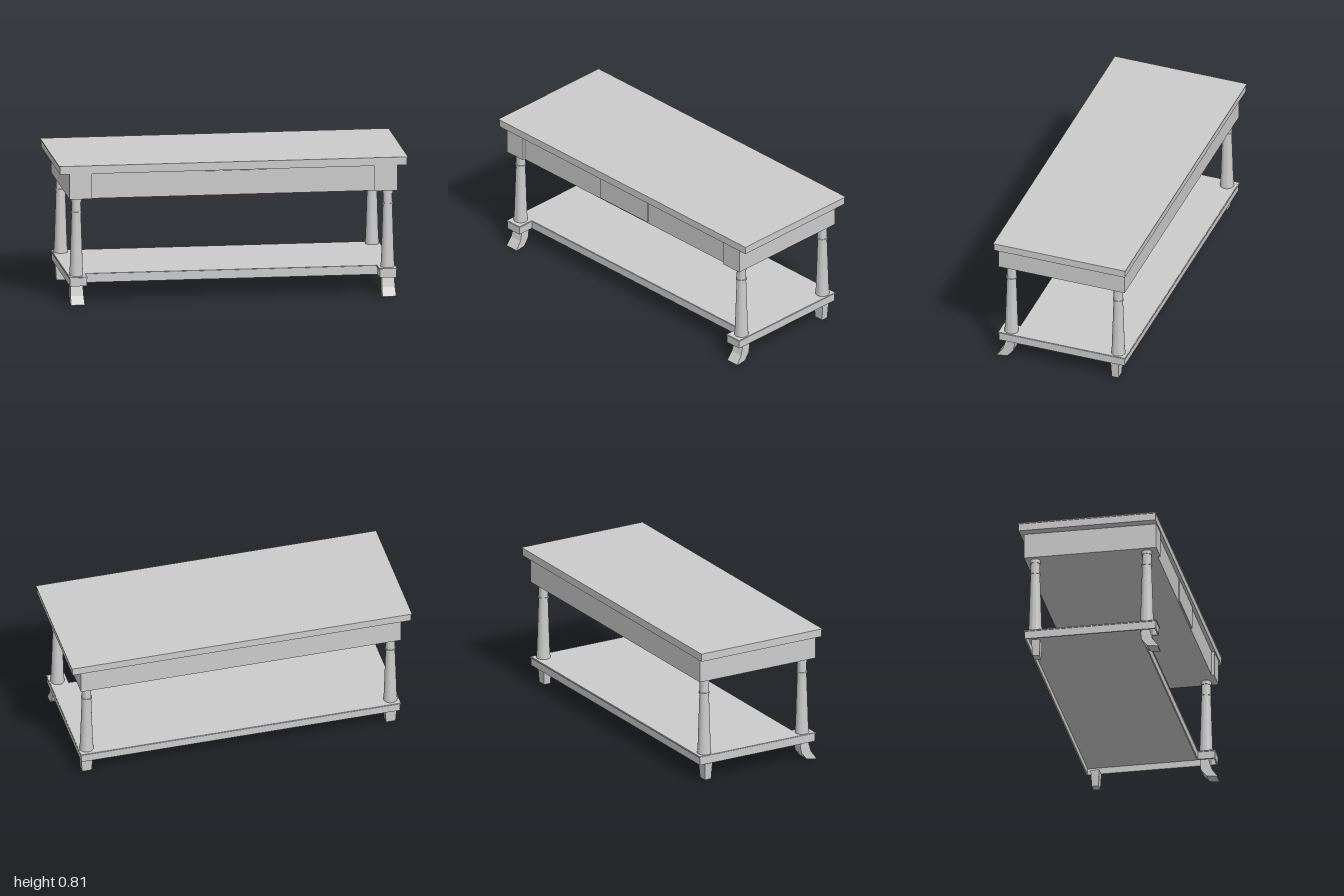
import * as THREE from 'three';
import { toCreasedNormals } from 'three/addons/utils/BufferGeometryUtils.js';

const material = new THREE.MeshStandardMaterial({ color: 0xcccccc });

function add(parent, name, geometry) {
  const mesh = new THREE.Mesh(geometry, material);
  mesh.name = name;
  parent.add(mesh);
  return mesh;
}

// Box given by its limits on each axis
function box(x0, x1, y0, y1, z0, z1) {
  return new THREE.BoxGeometry(x1 - x0, y1 - y0, z1 - z0)
    .translate((x0 + x1) / 2, (y0 + y1) / 2, (z0 + z1) / 2);
}

// Floor outline with a step back along the front, grown outward by d
function outline(Type, halfX, stepX, front, stepZ, back, d) {
  const x = halfX + d, s = stepX - d;
  const corners = [
    [-x, back - d], [-x, front + d], [-s, front + d], [-s, stepZ + d],
    [s, stepZ + d], [s, front + d], [x, front + d], [x, back - d],
  ];
  return new Type(corners.map(([px, pz]) => new THREE.Vector2(px, -pz)));
}

// Raise a floor outline from y0 to y1
function slab(shape, y0, y1) {
  return new THREE.ExtrudeGeometry(shape, { depth: y1 - y0, bevelEnabled: false })
    .rotateX(-Math.PI / 2).translate(0, y0, 0);
}

// Turned column, widening toward its base
function columnGeometry() {
  const profile = [
    [0, 0.162], [0.04, 0.162], [0.04, 0.172], [0.037, 0.205], [0.027, 0.524],
    [0.031, 0.524], [0.031, 0.533], [0.027, 0.533], [0.026, 0.591],
    [0.03, 0.591], [0.03, 0.612], [0.027, 0.616], [0, 0.616],
  ].map(([r, y]) => new THREE.Vector2(r, y));
  return toCreasedNormals(new THREE.LatheGeometry(profile, 32), 0.6);
}

// Foot sweeping forward to a thin toe, a little wider at the floor
function frontFootGeometry() {
  const side = new THREE.Shape([
    [0.349, 0.155], [0.349, 0.11], [0.366, 0.05], [0.4, 0.003], [0.396, 0],
    [0.337, 0.008], [0.304, 0.048], [0.297, 0.09], [0.3, 0.11], [0.3, 0.155],
  ].map(([z, y]) => new THREE.Vector2(z, y)));
  const geometry = new THREE.ExtrudeGeometry(side, { depth: 2, bevelEnabled: false })
    .translate(0, 0, -1).rotateY(-Math.PI / 2);
  const p = geometry.attributes.position;
  for (let i = 0; i < p.count; i++) {
    p.setX(i, p.getX(i) * (0.04 - 0.05 * Math.min(p.getY(i), 0.1)));
  }
  geometry.computeVertexNormals();
  return geometry;
}

// Square tapered block foot
function backFootGeometry() {
  const k = Math.SQRT2;
  return new THREE.CylinderGeometry(0.025 * k, 0.02 * k, 0.098, 4, 1)
    .rotateY(Math.PI / 4).scale(1.4, 1, 1).translate(0, 0.056, 0).toNonIndexed();
}

export function createModel() {
  const table = new THREE.Group();
  table.name = 'table';

  // Top board with a fine lip along its upper edge
  add(table, 'topBoard', box(-0.995, 0.995, 0.762, 0.804, -0.396, 0.396));
  add(table, 'topLip', box(-1, 1, 0.804, 0.81, -0.4, 0.4));

  // Apron with a recessed front panel and a central drawer
  add(table, 'apron', slab(outline(THREE.Shape, 0.94, 0.81, 0.39, 0.375, -0.375, 0), 0.615, 0.763));
  add(table, 'drawerFront', box(-0.19, 0.19, 0.624, 0.757, 0.36, 0.382));

  // Lower shelf: hollow skirt below a panel with a stepped lip
  const skirt = outline(THREE.Shape, 0.937, 0.84, 0.388, 0.29, -0.373, 0);
  skirt.holes.push(outline(THREE.Path, 0.937, 0.84, 0.388, 0.29, -0.373, -0.008));
  add(table, 'shelfSkirt', slab(skirt, 0.11, 0.152));
  add(table, 'shelfPanel', slab(outline(THREE.Shape, 0.937, 0.84, 0.388, 0.29, -0.373, 0), 0.148, 0.155));
  add(table, 'shelfLip', slab(outline(THREE.Shape, 0.937, 0.84, 0.388, 0.29, -0.373, 0.005), 0.155, 0.16));
  add(table, 'shelfTop', slab(outline(THREE.Shape, 0.937, 0.84, 0.388, 0.29, -0.373, 0.002), 0.16, 0.163));

  // Columns and feet at the four corners
  const column = columnGeometry();
  const frontFoot = frontFootGeometry();
  const backFoot = backFootGeometry();
  backFoot.computeVertexNormals();
  for (const side of [1, -1]) {
    const label = side > 0 ? 'Left' : 'Right';
    const x = side * 0.893;
    add(table, `front${label}Column`, column).position.set(x, 0, 0.327);
    add(table, `back${label}Column`, column).position.set(x, 0, -0.319);
    add(table, `front${label}Foot`, frontFoot).position.x = x;
    add(table, `back${label}Foot`, backFoot).position.set(x, 0, -0.31);
  }
  return table;
}
